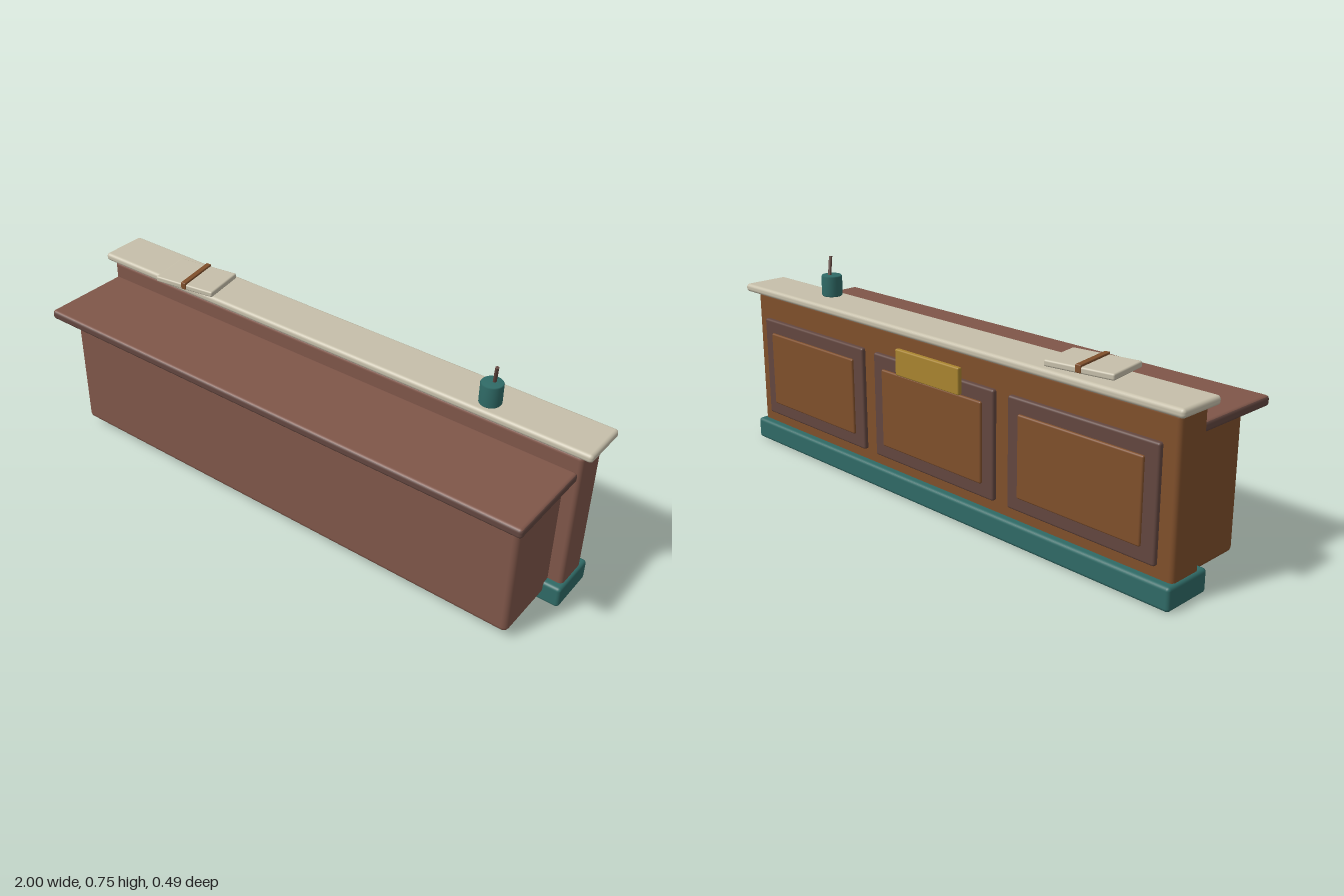
import * as THREE from 'three';
import { RoundedBoxGeometry } from 'three/addons/geometries/RoundedBoxGeometry.js';

const material = (name, color) => {
  const m = new THREE.MeshStandardMaterial({ color });
  m.name = name;
  return m;
};

export function createModel() {
  const redWood = material('red brown wood', 0x7f5649);
  const warmWood = material('warm wood', 0x7f4f2b);
  const trim = material('dark trim', 0x62463f);
  const stone = material('cream stone', 0xc6bfaa);
  const teal = material('teal', 0x2f6a66);
  const brass = material('brass', 0xa8842f);
  const dark = material('dark base', 0x2a2433);

  const model = new THREE.Group();
  model.name = 'receptionDesk';

  const add = (name, geometry, mat, x, y, z, parent = model) => {
    const mesh = new THREE.Mesh(geometry, mat);
    mesh.name = name;
    mesh.position.set(x, y, z);
    parent.add(mesh);
    return mesh;
  };
  // Rounded box given by its lower and upper limits on each axis
  const box = (name, [x0, x1], [y0, y1], [z0, z1], r, mat, parent) =>
    add(name, new RoundedBoxGeometry(x1 - x0, y1 - y0, z1 - z0, 3, r), mat,
      (x0 + x1) / 2, (y0 + y1) / 2, (z0 + z1) / 2, parent);

  // Face order: +x, -x, top, bottom, front, back
  const bodyFaces = [redWood, warmWood, redWood, redWood, redWood, warmWood];
  const topFaces = [trim, trim, redWood, trim, trim, trim];

  // Tall counter with plinth and stone top
  box('counterBody', [-0.97, 0.97], [0.02, 0.58], [-0.21, -0.083], 0.015, bodyFaces);
  box('plinth', [-0.98, 0.98], [0, 0.078], [-0.238, -0.055], 0.012, teal);
  box('counterTop', [-1, 1], [0.58, 0.609], [-0.245, -0.07], 0.012, stone);

  // Lower desk on the staff side
  box('deskBody', [-0.92, 0.92], [0.03, 0.495], [-0.1, 0.171], 0.02, bodyFaces);
  box('deskTop', [-0.96, 0.96], [0.489, 0.523], [-0.087, 0.246], 0.012, topFaces);

  // Raised panels on the public side
  for (const x of [-0.63, 0, 0.63]) {
    const panel = new THREE.Group();
    panel.name = 'panel';
    panel.position.x = x;
    model.add(panel);
    box('panelFrame', [-0.285, 0.285], [0.116, 0.487], [-0.225, -0.2], 0.008, trim, panel);
    box('panelCentre', [-0.237, 0.237], [0.164, 0.439], [-0.233, -0.213], 0.006, warmWood, panel);
  }
  box('plaque', [-0.15, 0.15], [0.441, 0.532], [-0.244, -0.226], 0.005, brass);

  // Stool foot beneath the desk
  add('stoolFoot', new THREE.CylinderGeometry(0.083, 0.085, 0.022, 32), dark, 0, 0.011, -0.014);
  add('stoolCollar', new THREE.CylinderGeometry(0.075, 0.075, 0.012, 32), brass, 0, 0.027, -0.014);

  // Open book with a spine strip
  const book = new THREE.Group();
  book.name = 'book';
  book.position.set(-0.594, 0, -0.128);
  book.rotation.y = 0.15;
  model.add(book);
  for (const s of [-1, 1])
    box('page', s < 0 ? [-0.119, 0] : [0, 0.119], [0.61, 0.631], [-0.081, 0.081], 0.006, stone, book);
  box('spine', [-0.01, 0.01], [0.612, 0.638], [-0.083, 0.083], 0.003, warmWood, book);

  // Pen cup
  const cup = [[0, 0], [0.034, 0], [0.037, 0.004], [0.037, 0.071], [0.034, 0.075], [0, 0.075]]
    .map(([r, y]) => new THREE.Vector2(r, y));
  add('penCup', new THREE.LatheGeometry(cup, 32), teal, 0.627, 0.609, -0.125);
  const from = new THREE.Vector3(0.628, 0.67, -0.135);
  const to = new THREE.Vector3(0.643, 0.748, -0.114);
  const pen = add('pen', new THREE.CylinderGeometry(0.006, 0.006, from.distanceTo(to), 12), trim,
    (from.x + to.x) / 2, (from.y + to.y) / 2, (from.z + to.z) / 2);
  pen.quaternion.setFromUnitVectors(new THREE.Vector3(0, 1, 0), to.clone().sub(from).normalize());

  return model;
}
